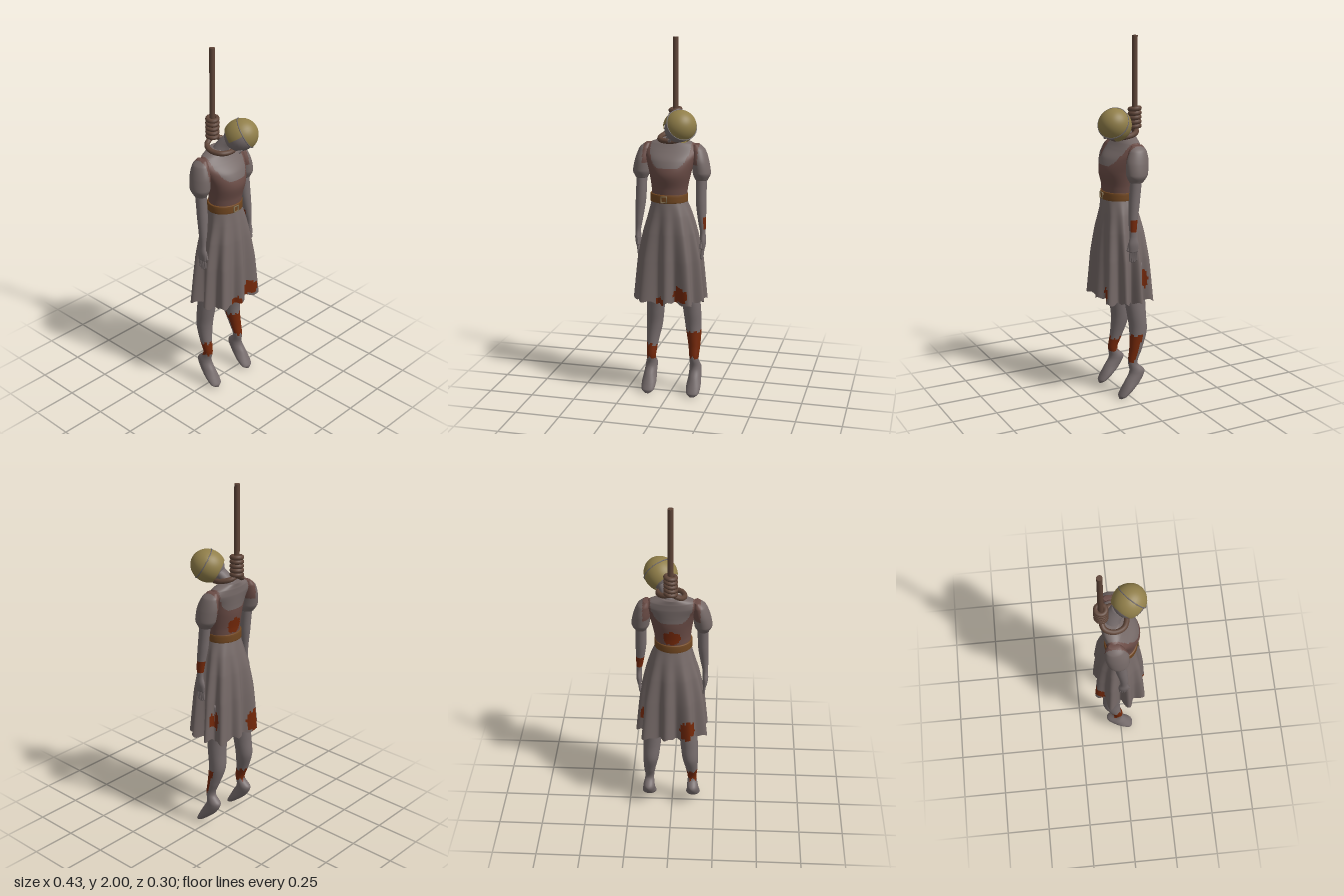
import * as THREE from 'three';

const mat = (name, color, side = THREE.FrontSide) => {
  const m = new THREE.MeshStandardMaterial({ color, side });
  m.name = name;
  return m;
};
const skin = mat('pale skin', 0x776d6d);
const cloth = mat('grey cloth', 0x756967, THREE.DoubleSide);
const bodiceMat = mat('brown bodice', 0x6a4c46);
const leather = mat('belt leather', 0x704620);
const metal = mat('buckle metal', 0x857252);
const ropeMat = mat('rope', 0x5f4538);
const hairMat = mat('straw hair', 0x917f4a, THREE.DoubleSide);
const bandMat = mat('hair band', 0x6d676a);
const stain = mat('rust stain', 0x742809, THREE.DoubleSide);

const add = (parent, name, geo, material) => {
  const m = new THREE.Mesh(geo, material);
  m.name = name;
  parent.add(m);
  return m;
};

// Smooth skin over horizontal ellipses [x, y, z, rx, rz], listed from top to bottom.
// shape() shifts each point, paint() picks a material index from each face centre.
function loft(sections, { seg = 24, rows = 24, capped = true, shape, paint = () => 0 } = {}) {
  const path = new THREE.CatmullRomCurve3(sections.map(s => new THREE.Vector3(s[0], s[1], s[2])));
  const size = new THREE.CatmullRomCurve3(sections.map(s => new THREE.Vector3(s[3], s[4], 0)));
  const pts = [];
  for (let i = 0; i <= rows; i++) {
    const t = i / rows, c = path.getPoint(t), r = size.getPoint(t);
    for (let j = 0; j < seg; j++) {
      const a = (j / seg) * Math.PI * 2;
      const [k, dy] = shape ? shape(a, t) : [1, 0];
      pts.push(new THREE.Vector3(c.x + r.x * k * Math.sin(a), c.y + dy, c.z + r.y * k * Math.cos(a)));
    }
  }
  const buckets = [];
  const tri = (...ids) => {
    const mid = new THREE.Vector3();
    ids.forEach(i => mid.addScaledVector(pts[i], 1 / ids.length));
    const b = (buckets[paint(mid)] ??= []);
    b.push(ids[0], ids[1], ids[2]);
    if (ids.length === 4) b.push(ids[0], ids[2], ids[3]);
  };
  for (let i = 0; i < rows; i++) for (let j = 0; j < seg; j++) {
    const k = (j + 1) % seg;
    tri(i * seg + j, (i + 1) * seg + j, (i + 1) * seg + k, i * seg + k);
  }
  if (capped) {
    const top = pts.push(path.getPoint(0)) - 1, bottom = pts.push(path.getPoint(1)) - 1;
    for (let j = 0; j < seg; j++) {
      const k = (j + 1) % seg;
      tri(top, j, k);
      tri(bottom, rows * seg + k, rows * seg + j);
    }
  }
  const geo = new THREE.BufferGeometry().setFromPoints(pts), index = [];
  buckets.forEach((b, i) => {
    geo.addGroup(index.length, b.length, i);
    for (const v of b) index.push(v);
  });
  geo.setIndex(index);
  geo.computeVertexNormals();
  return geo;
}

// Slightly ragged ellipsoid test used for the stains
const inPatch = (p, [x, y, z, rx, ry, rz]) => {
  const wobble = 0.1 * Math.sin(p.x * 170 + p.z * 140) + 0.06 * Math.sin(p.y * 230);
  return Math.hypot((p.x - x) / rx, (p.y - y) / ry, (p.z - z) / rz) < 1 + wobble;
};

function buildTorso(g) {
  // Bodice with scooped neck and shoulder straps, over a blouse
  const paint = p => {
    const x = Math.abs(p.x);
    if (p.z < 0 && inPatch(p, [0, 1.215, -0.08, 0.048, 0.045, 0.06])) return 2;
    return x > 0.112 || p.y < 1.315 + 0.09 * Math.pow(x / 0.112, 5) ? 1 : 0;
  };
  add(g, 'torso', loft([
    [0, 1.46, -0.045, 0.058, 0.046], [0, 1.435, -0.037, 0.122, 0.056], [0, 1.4, -0.024, 0.152, 0.07],
    [0, 1.35, 0, 0.136, 0.09], [0, 1.28, 0.014, 0.115, 0.1], [-0.003, 1.2, 0.012, 0.1, 0.086],
    [-0.006, 1.13, 0.01, 0.095, 0.081],
  ], { seg: 100, rows: 70, paint }), [cloth, bodiceMat, stain]);
  add(g, 'neck', loft([
    [0.045, 1.53, 0.02, 0.042, 0.045], [0.02, 1.48, -0.02, 0.044, 0.044], [0, 1.43, -0.04, 0.054, 0.046],
  ], { rows: 10 }), skin);

  // Belt and buckle
  add(g, 'belt', loft([
    [-0.007, 1.168, 0.011, 0.096, 0.083], [-0.007, 1.164, 0.011, 0.103, 0.09],
    [-0.007, 1.124, 0.011, 0.104, 0.091], [-0.007, 1.12, 0.011, 0.095, 0.083],
  ], { seg: 40, rows: 9 }), leather);
  const buckle = add(g, 'buckle', new THREE.TorusGeometry(0.022, 0.004, 6, 4).rotateZ(Math.PI / 4), metal);
  buckle.position.set(-0.015, 1.144, 0.103);
}

function buildSkirt(g) {
  // Pleats deepen towards a slightly ragged hem
  const shape = (a, t) => {
    const fold = Math.cos(10 * a + 0.7 * (1 - Math.cos(a)));
    return [1 + 0.14 * Math.pow(t, 1.2) * fold - 0.09 * t * Math.cos(4 * a),
      t * t * (0.006 * Math.sin(7 * a) + 0.006 * Math.sin(23 * a))];
  };
  const patches = [
    [0.08, 0.615, 0.125, 0.042, 0.044, 0.06], [-0.03, 0.57, 0.12, 0.026, 0.03, 0.05],
    [0.17, 0.69, -0.07, 0.05, 0.052, 0.025], [-0.09, 0.625, -0.115, 0.042, 0.07, 0.05],
  ];
  add(g, 'skirt', loft([
    [-0.006, 1.135, 0.01, 0.095, 0.081], [0, 1.05, 0.006, 0.122, 0.1], [0, 0.95, 0.003, 0.148, 0.118],
    [0, 0.8, 0.001, 0.174, 0.132], [0, 0.565, 0, 0.192, 0.142],
  ], { seg: 160, rows: 60, capped: false, shape,
    paint: p => (patches.some(q => inPatch(p, q)) ? 1 : 0) }), [cloth, stain]);
}

function buildArm(g, s) {
  const side = s > 0 ? 'left' : 'right';
  const m = list => list.map(([x, ...r]) => [s * x, ...r]);
  // Sloping puff sleeve, with the outer edge of the shoulder strap on it
  add(g, side + 'PuffSleeve', loft(m([
    [0.134, 1.432, -0.036, 0.016, 0.03], [0.146, 1.405, -0.033, 0.036, 0.05], [0.16, 1.34, -0.024, 0.046, 0.064],
    [0.168, 1.28, -0.018, 0.049, 0.06], [0.168, 1.24, -0.014, 0.033, 0.038],
  ]), { seg: 48, rows: 40, paint: p => (Math.abs(p.x) < 0.153 && p.y > 1.33 ? 1 : 0) }), [cloth, bodiceMat]);
  const wrist = p => (s > 0 && Math.abs(p.y - 1.005) < 0.031 && (p.z < 0.014 || p.x > 0.188) ? 1 : 0);
  add(g, side + 'Arm', loft(m([
    [0.167, 1.27, -0.015, 0.03, 0.032], [0.17, 1.12, 0, 0.029, 0.03], [0.178, 1.01, 0.011, 0.021, 0.023],
    [0.183, 0.95, 0.012, 0.015, 0.02], [0.184, 0.9, 0.01, 0.016, 0.03], [0.182, 0.86, 0.01, 0.012, 0.027],
  ]), { seg: 24, rows: 50, paint: wrist }), [skin, stain]);
  // Fingers and thumb
  for (let i = 0; i < 4; i++) {
    const f = add(g, side + 'Finger', new THREE.CapsuleGeometry(0.0065, 0.055, 3, 8), skin);
    f.position.set(s * 0.18, 0.84 - (i === 1 || i === 2 ? 0.008 : 0), -0.01 + i * 0.0125);
    f.rotation.z = -s * 0.12;
  }
  const thumb = add(g, side + 'Thumb', new THREE.CapsuleGeometry(0.007, 0.04, 3, 8), skin);
  thumb.position.set(s * 0.178, 0.89, 0.036);
  thumb.rotation.x = -0.25;
}

function buildLeg(g, s) {
  // Thigh to pointed toe; the right leg hangs slightly closer to the centre
  const dx = s > 0 ? 0 : -0.012;
  const paint = p => {
    const rag = 0.01 * Math.sin(p.x * 200 + p.z * 120);
    if (s < 0) return p.y > 0.195 + rag && p.y < 0.272 + rag ? 1 : 0;
    return p.y > 0.215 + rag && p.y < 0.36 + rag && p.z > -0.042 + (0.3 - p.y) * 0.35 ? 1 : 0;
  };
  add(g, s > 0 ? 'leftLeg' : 'rightLeg', loft([
    [0.09, 0.78, -0.03, 0.062, 0.065], [0.102, 0.6, -0.037, 0.052, 0.062], [0.112, 0.48, -0.047, 0.05, 0.054],
    [0.119, 0.38, -0.054, 0.045, 0.05], [0.128, 0.28, -0.035, 0.034, 0.036], [0.131, 0.2, -0.016, 0.026, 0.027],
    [0.134, 0.15, -0.04, 0.033, 0.045], [0.136, 0.1, -0.016, 0.036, 0.047], [0.136, 0.055, 0.018, 0.041, 0.037],
    [0.136, 0.018, 0.05, 0.036, 0.023], [0.136, 0, 0.062, 0.012, 0.008],
  ].map(([x, ...r]) => [s * (x + dx), ...r]), { seg: 28, rows: 90, paint }), [skin, stain]);
}

function buildHead(g) {
  // Tilted forward and to the left: local y is the crown, local z the face
  const head = new THREE.Group();
  head.name = 'head';
  const up = new THREE.Vector3(0.565, 0.5, 0.655).normalize();
  const right = new THREE.Vector3().crossVectors(up, new THREE.Vector3(-0.4, -0.7, 0.65)).normalize();
  const face = new THREE.Vector3().crossVectors(right, up);
  head.quaternion.setFromRotationMatrix(new THREE.Matrix4().makeBasis(right, up, face));
  head.position.set(0.063, 1.538, 0.06);
  g.add(head);
  const ball = (...arc) => new THREE.SphereGeometry(1, 32, 20, ...arc);
  const split = 1.285;
  add(head, 'face', ball(), skin).scale.set(0.08, 0.09, 0.085);
  add(head, 'hairCrown', ball(0, Math.PI * 2, 0, split), hairMat).scale.set(0.088, 0.096, 0.09);
  // Hair behind the band leaves the face open
  add(head, 'hairBack', ball(Math.PI * 0.82, Math.PI * 1.36, split, 0.95), hairMat).scale.set(0.088, 0.096, 0.09);
  const band = add(head, 'hairBand', new THREE.TorusGeometry(0.086, 0.003, 8, 48).rotateX(Math.PI / 2), bandMat);
  band.position.y = 0.027;
  const nose = add(head, 'nose', new THREE.ConeGeometry(0.011, 0.03, 8), skin);
  nose.position.set(0, -0.028, 0.083);
}

function buildRope(g) {
  const z = -0.09;
  const line = add(g, 'ropeLine', new THREE.CylinderGeometry(0.015, 0.015, 0.5, 16), ropeMat);
  line.position.set(0.003, 1.75, z);
  for (let i = 0; i < 5; i++) {
    const coil = add(g, 'ropeCoil', new THREE.TorusGeometry(0.026, 0.013, 10, 24).rotateX(Math.PI / 2), ropeMat);
    coil.position.set(0.003, 1.51 + i * 0.024, z);
    coil.rotation.set(0.1, 0, 0.12);
  }
  const loop = [[0, 1.5, -0.09], [-0.05, 1.475, -0.08], [-0.068, 1.46, -0.03], [-0.045, 1.455, 0.025],
    [0.015, 1.455, 0.042], [0.062, 1.465, 0.018], [0.072, 1.475, -0.035], [0.042, 1.488, -0.08]]
    .map(p => new THREE.Vector3(...p));
  add(g, 'ropeLoop', new THREE.TubeGeometry(new THREE.CatmullRomCurve3(loop, true), 64, 0.0145, 10, true), ropeMat);
}

export function createModel() {
  const g = new THREE.Group();
  g.name = 'hangingFigure';
  buildTorso(g);
  buildSkirt(g);
  for (const s of [1, -1]) {
    buildArm(g, s);
    buildLeg(g, s);
  }
  buildHead(g);
  buildRope(g);
  return g;
}
